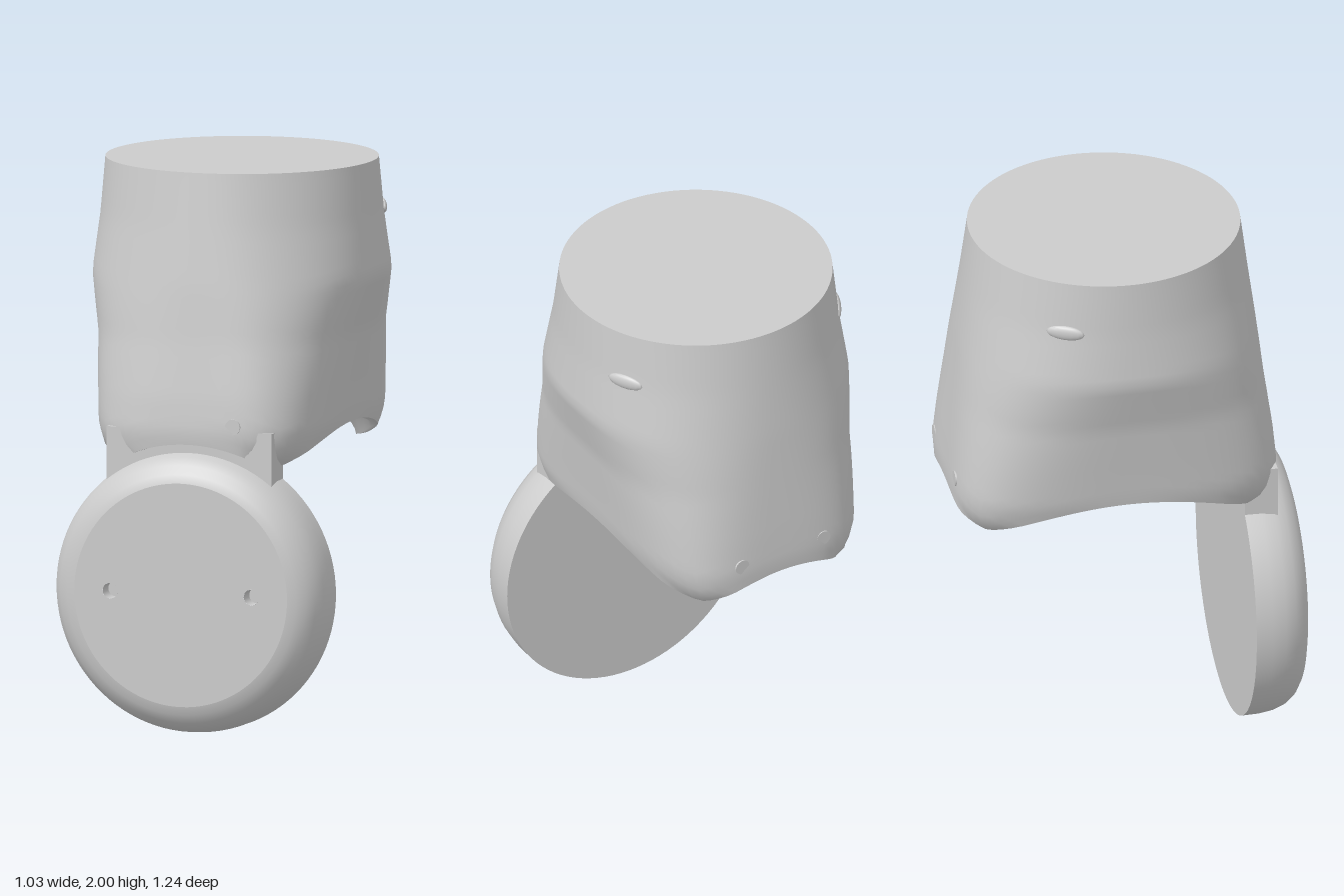
import * as THREE from 'three';

const grey = new THREE.MeshStandardMaterial({ color: 0xcccccc });
const greyDouble = new THREE.MeshStandardMaterial({ color: 0xcccccc, side: THREE.DoubleSide });
const SEG = 96;

// Body sections: height, half width, front z, back z, squareness (2 = ellipse)
const SECTIONS = [
  [0.945, 0.35, 0.50, -0.58, 4], [1.0, 0.395, 0.545, -0.615, 4], [1.08, 0.42, 0.555, -0.62, 4],
  [1.2, 0.435, 0.545, -0.61, 3.6], [1.4, 0.462, 0.52, -0.59, 2.9], [1.6, 0.515, 0.50, -0.57, 2.3],
  [1.8, 0.497, 0.475, -0.545, 2.1], [2, 0.485, 0.45, -0.52, 2],
];

// Point [x, z] of the body outline at height y and angle a
function outline(y, a) {
  let k = 0;
  while (k < SECTIONS.length - 2 && y > SECTIONS[k + 1][0]) k++;
  const A = SECTIONS[k], B = SECTIONS[k + 1];
  const t = THREE.MathUtils.clamp((y - A[0]) / (B[0] - A[0]), 0, 1);
  const [, w, front, back, n] = A.map((v, i) => v + (B[i] - v) * t);
  const c = Math.cos(a), s = Math.sin(a);
  const r = Math.pow(Math.abs(c) ** n + Math.abs(s) ** n, -1 / n);
  return [w * r * c, (front + back) / 2 + (front - back) / 2 * r * s];
}

// Height of the lower lip: arched on all four sides, low at the corners
function lip(a) {
  const [x, z] = outline(1.0, a);
  return Math.max(0.945, 1.07 - 0.125 * ((z + 0.035) / 0.52) ** 2, 1.04 - 0.095 * (x / 0.32) ** 2);
}

// Closed rings joined into a smooth skin; point(i, a) gives [x, y, z]
function loft(rings, point) {
  const pos = [], index = [];
  for (let i = 0; i < rings; i++) {
    for (let j = 0; j < SEG; j++) pos.push(...point(i, j / SEG * Math.PI * 2));
  }
  for (let i = 0; i < rings - 1; i++) {
    for (let j = 0; j < SEG; j++) {
      const k = (j + 1) % SEG, a = i * SEG + j, b = i * SEG + k;
      index.push(a, a + SEG, b + SEG, a, b + SEG, b);
    }
  }
  const g = new THREE.BufferGeometry();
  g.setAttribute('position', new THREE.Float32BufferAttribute(pos, 3));
  g.setIndex(index);
  g.computeVertexNormals();
  return g;
}

export function createModel() {
  const model = new THREE.Group();
  const add = (name, geometry, x = 0, y = 0, z = 0, material = grey) => {
    const mesh = new THREE.Mesh(geometry, material);
    mesh.name = name;
    mesh.position.set(x, y, z);
    model.add(mesh);
    return mesh;
  };

  // Outer skin from the arched lip to the round top
  const ROWS = 28;
  add('bodyShell', loft(ROWS + 1, (i, a) => {
    const y0 = lip(a), y = y0 + (2 - y0) * i / ROWS;
    const [x, z] = outline(y, a);
    return [x, y, z];
  }));
  add('bodyTop', new THREE.CircleGeometry(0.485, SEG).rotateX(-Math.PI / 2), 0, 2, -0.035);

  // Recessed underside: centre, ceiling edge, inner lip, outer lip
  const under = [[0, 1.1], [0.5, 1.095], [0.9, 1.08], [0.95, null], [1, null]];
  add('underside', loft(under.length, (i, a) => {
    const [s, h] = under[i], y = lip(a);
    const [x, z] = outline(y, a);
    return [x * s, h ?? y, -0.035 + (z + 0.035) * s];
  }));
  add('undersideRib', new THREE.BoxGeometry(0.44, 0.02, 0.025), 0, 1.085, -0.43);

  // Small fastener dots near the lower edge: one in front, two behind
  for (const [x, side] of [[0.17, 1], [0.17, -1], [-0.17, -1]]) {
    const z = outline(1.11, Math.atan2(side * 0.58, x * 1.38))[1];
    add('bodyFastener', new THREE.CylinderGeometry(0.028, 0.028, 0.02, 20).rotateX(Math.PI / 2), x, 1.11, z - side * 0.008);
  }

  // Small pointed lugs high on both sides
  for (const side of [1, -1]) {
    const lug = add('sideLug', new THREE.SphereGeometry(1, 16, 10), side * 0.443, 1.81, -0.27);
    lug.scale.set(0.015, 0.028, 0.07);
    lug.rotation.y = side * 0.48;
  }

  // Neck plate joining the disc to the body
  add('neckPlate', new THREE.BoxGeometry(0.62, 0.25, 0.12), 0, 0.965, 0.47);

  // Disc rim with a rounded front edge
  const rim = [[0.51, 0.41], [0.509, 0.47], [0.502, 0.52], [0.487, 0.56], [0.462, 0.592], [0.43, 0.612], [0.4, 0.62]];
  add('discRim', new THREE.LatheGeometry(rim.map(([r, z]) => new THREE.Vector2(r, z)), SEG)
    .rotateX(Math.PI / 2), 0, 0.51, 0);
  add('discBack', new THREE.CircleGeometry(0.51, SEG).rotateY(Math.PI), 0, 0.51, 0.41);

  // Flat disc face with two round holes
  const face = new THREE.Shape().absarc(0, 0, 0.4, 0, Math.PI * 2);
  for (const side of [1, -1]) {
    face.holes.push(new THREE.Path().absarc(side * 0.265, 0.005, 0.028, 0, Math.PI * 2, true));
    add('discHoleWall', new THREE.CylinderGeometry(0.028, 0.028, 0.06, 24, 1, true).rotateX(Math.PI / 2),
      side * 0.265, 0.515, 0.59, greyDouble);
    add('discHoleFloor', new THREE.CircleGeometry(0.028, 24), side * 0.265, 0.515, 0.56);
  }
  add('discFace', new THREE.ShapeGeometry(face, 48), 0, 0.51, 0.62);

  return model;
}
